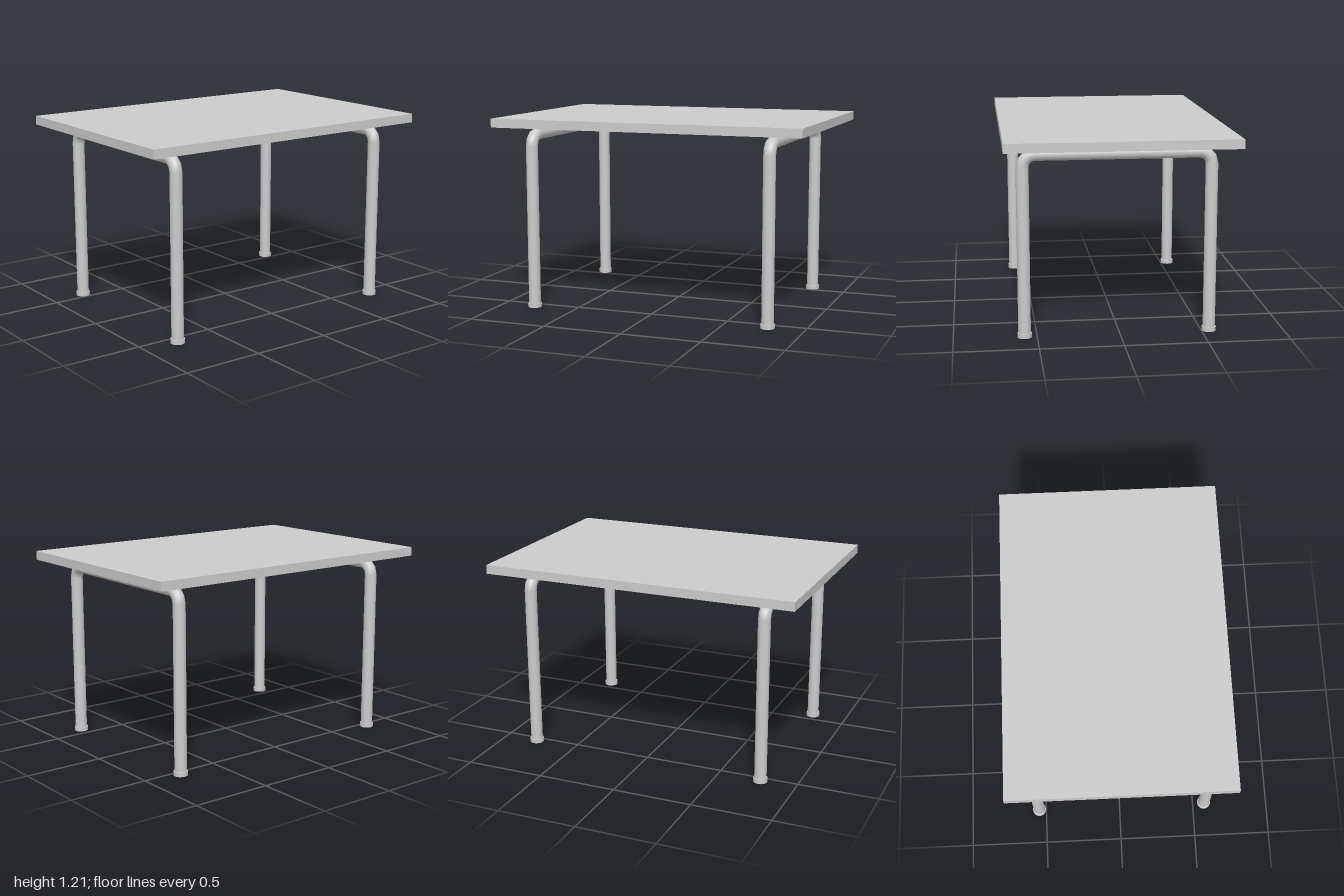
import * as THREE from 'three';

const TUBE_R = 0.038, BEND_R = 0.073, BAR_Y = 1.108, FOOT_H = 0.026;
const LEG_LEFT = 0.575, LEG_RIGHT = -0.546, FRAME_Z = 0.775, BEND_STEPS = 3;

// Curve that steps exactly through given stations, keeping bends faceted and straights clean
class StationCurve extends THREE.Curve {
  constructor(stations) {
    super();
    this.stations = stations;
  }
  station(u) {
    return this.stations[Math.round(u * (this.stations.length - 1))];
  }
  getPointAt(u, target = new THREE.Vector3()) {
    return target.copy(this.station(u).point);
  }
  getTangentAt(u, target = new THREE.Vector3()) {
    return target.copy(this.station(u).tangent);
  }
}

// Upside-down U: up the right leg, across under the top, down the left leg
function frameGeometry() {
  const stations = [];
  const add = (x, y, tx, ty) => stations.push({
    point: new THREE.Vector3(x, y, 0),
    tangent: new THREE.Vector3(tx, ty, 0),
  });
  const bend = (cx, from) => {
    for (let i = 0; i <= BEND_STEPS; i++) {
      const a = from - (i / BEND_STEPS) * Math.PI / 2;
      add(cx + BEND_R * Math.cos(a), BAR_Y - BEND_R + BEND_R * Math.sin(a), Math.sin(a), -Math.cos(a));
    }
  };
  add(LEG_RIGHT, 0.01, 0, 1);
  bend(LEG_RIGHT + BEND_R, Math.PI);
  bend(LEG_LEFT - BEND_R, Math.PI / 2);
  add(LEG_LEFT, 0.01, 0, -1);
  return new THREE.TubeGeometry(new StationCurve(stations), stations.length - 1, TUBE_R, 16, false);
}

export function createModel() {
  const group = new THREE.Group();
  const material = new THREE.MeshStandardMaterial({ color: 0xcccccc });
  const addMesh = (name, geometry, x, y, z) => {
    const mesh = new THREE.Mesh(geometry, material);
    mesh.name = name;
    mesh.position.set(x, y, z);
    group.add(mesh);
  };

  // Flat slab
  addMesh('tableTop', new THREE.BoxGeometry(1.38, 0.056, 2), 0, 1.183, 0);

  // Bent tube frames with a foot cap under each leg
  const frame = frameGeometry();
  const foot = new THREE.CylinderGeometry(0.044, 0.044, FOOT_H, 16);
  for (const [end, z] of [['front', FRAME_Z], ['back', -FRAME_Z]]) {
    addMesh(`${end}LegFrame`, frame, 0, 0, z);
    addMesh(`${end}LeftFoot`, foot, LEG_LEFT, FOOT_H / 2, z);
    addMesh(`${end}RightFoot`, foot, LEG_RIGHT, FOOT_H / 2, z);
  }
  return group;
}
